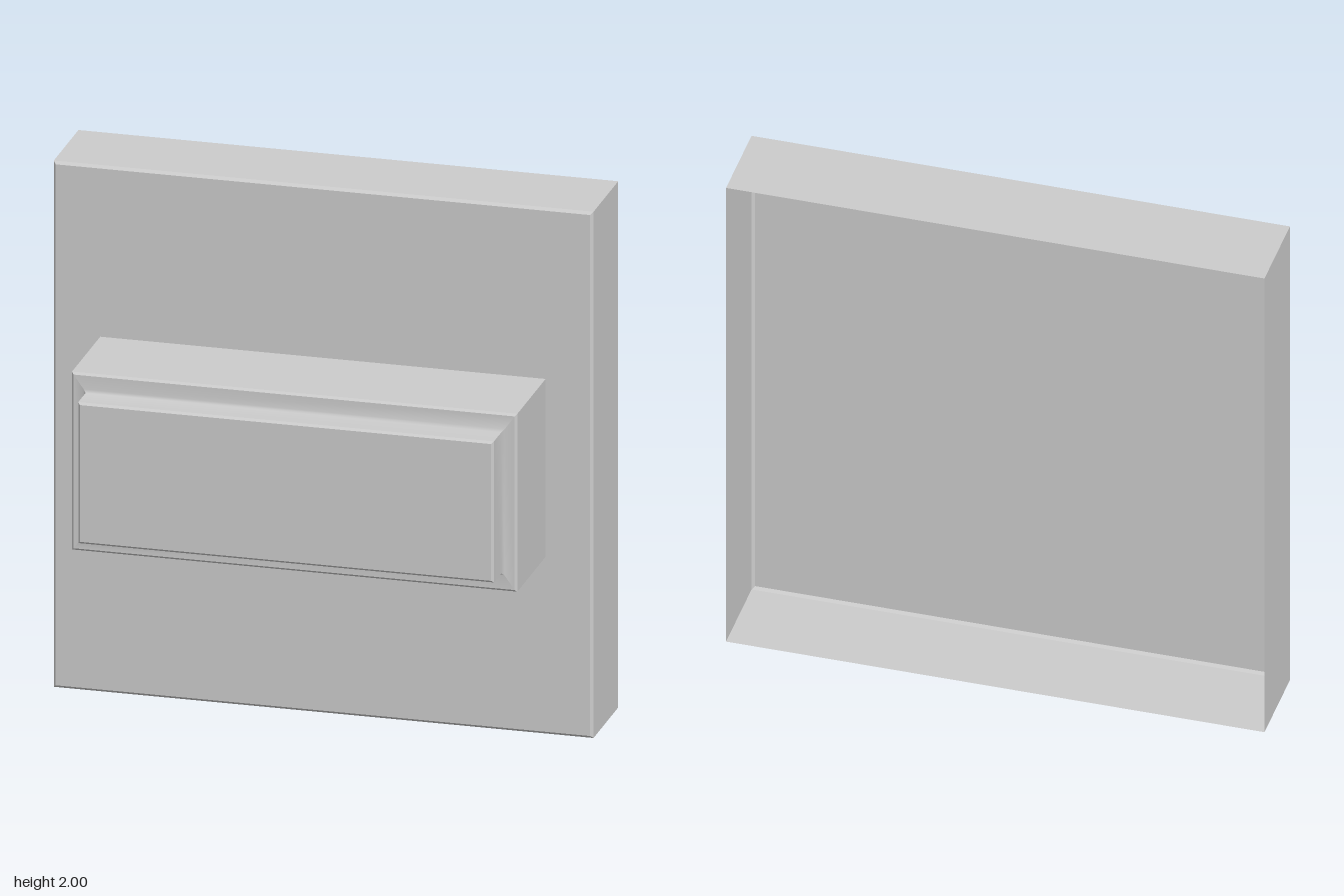
import * as THREE from 'three';
import { mergeGeometries } from 'three/addons/utils/BufferGeometryUtils.js';

const CORNERS = [[1, -1], [1, 1], [-1, 1], [-1, -1]];

// Rectangular shell through sections [halfWidth, halfHeight, z], ordered back to front.
// Smooth shells blend normals along z; the four corners always stay sharp.
function rectShell(sections, { smooth = false, cap = false } = {}) {
  const sides = CORNERS.map((a, i) => {
    const b = CORNERS[(i + 1) % 4];
    const pos = [], index = [];
    sections.forEach(([w, h, z], k) => {
      pos.push(a[0] * w, a[1] * h, z, b[0] * w, b[1] * h, z);
      if (k > 0) {
        const p = 2 * (k - 1);
        index.push(p, p + 1, p + 3, p, p + 3, p + 2);
      }
    });
    const g = new THREE.BufferGeometry();
    g.setAttribute('position', new THREE.Float32BufferAttribute(pos, 3));
    g.setIndex(index);
    if (smooth) g.computeVertexNormals();
    const flat = g.toNonIndexed();
    if (!smooth) flat.computeVertexNormals();
    return flat;
  });
  if (cap) {
    const [w, h, z] = sections[sections.length - 1];
    const face = new THREE.PlaneGeometry(2 * w, 2 * h).translate(0, 0, z).toNonIndexed();
    face.deleteAttribute('uv');
    sides.push(face);
  }
  return mergeGeometries(sides);
}

export function createModel() {
  const group = new THREE.Group();
  const grey = new THREE.MeshStandardMaterial({ color: 0xcccccc, side: THREE.DoubleSide });
  grey.name = 'light grey';

  const add = (name, geometry, y) => {
    const mesh = new THREE.Mesh(geometry, grey);
    mesh.name = name;
    mesh.position.y = y;
    group.add(mesh);
  };

  // Square tray, open at the back, with a bevelled front edge
  add('backPanel', rectShell([[1, 1, -0.42], [1, 1, -0.09], [0.99, 0.99, -0.08]], { cap: true }), 1);

  // Block standing out from the panel
  const midY = 1.013;
  add('block', rectShell([[0.825, 0.338, -0.08], [0.825, 0.338, 0.297], [0.817, 0.33, 0.305]]), midY);

  // Ledge, small fillet and rim, shaded as one soft step
  add('step', rectShell([
    [0.817, 0.33, 0.305], [0.78, 0.278, 0.305], [0.77, 0.268, 0.315], [0.77, 0.268, 0.412],
  ], { smooth: true }), midY);

  // Raised front plate with bevelled edge
  add('frontPlate', rectShell([[0.77, 0.268, 0.412], [0.762, 0.26, 0.42]], { cap: true }), midY);

  return group;
}
